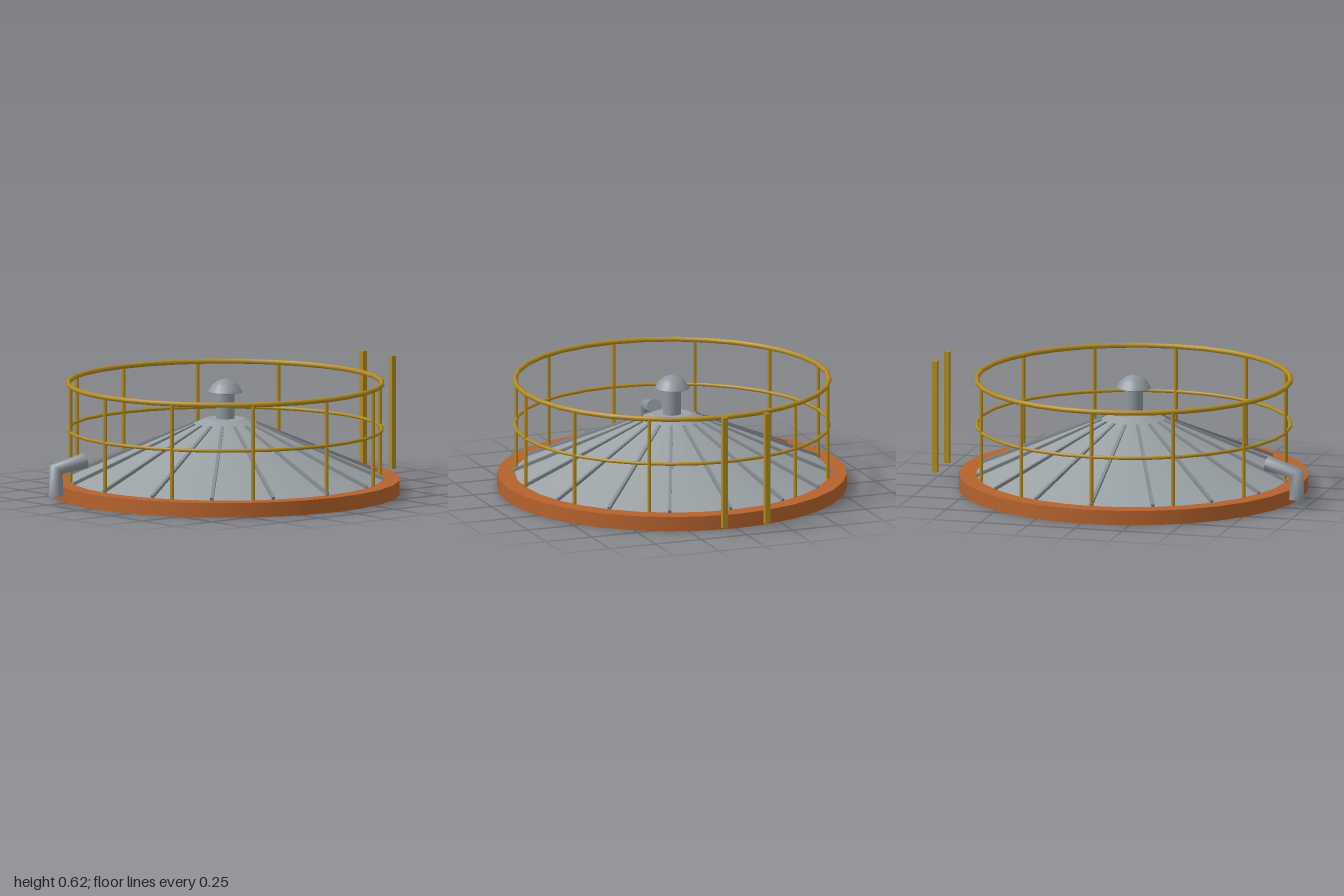
import * as THREE from 'three';

const mat = (name, color) => {
  const m = new THREE.MeshStandardMaterial({ color });
  m.name = name;
  return m;
};

export function createModel() {
  const rust = mat('rust orange', 0xb5622d);
  const steel = mat('steel grey', 0x9aa1a4);
  const ribGrey = mat('rib grey', 0x858c91);
  const pipeGrey = mat('pipe grey', 0x9097a0);
  const yellow = mat('safety yellow', 0xb18b22);

  const model = new THREE.Group();
  model.name = 'tankRoof';
  const tank = new THREE.Group(); // everything round the tank axis
  tank.name = 'tank';
  tank.position.x = -0.03;
  model.add(tank);

  const add = (parent, name, geometry, material, x = 0, y = 0, z = 0) => {
    const mesh = new THREE.Mesh(geometry, material);
    mesh.name = name;
    mesh.position.set(x, y, z);
    parent.add(mesh);
    return mesh;
  };

  // Rim slab and conical roof
  add(tank, 'rimSlab', new THREE.CylinderGeometry(0.89, 0.89, 0.075, 32), rust, 0, 0.0375);
  add(tank, 'roofCone', new THREE.CylinderGeometry(0.1, 0.8, 0.31, 32), steel, 0, 0.23);

  // Radial ribs, sinking into the roof towards the top
  const inner = new THREE.Vector2(0.16, 0.357), outer = new THREE.Vector2(0.81, 0.083);
  const ribLength = inner.distanceTo(outer);
  const ribTilt = Math.atan2(outer.y - inner.y, outer.x - inner.x);
  const ribGeometry = new THREE.BoxGeometry(ribLength, 0.016, 0.016);
  for (let i = 0; i < 16; i++) {
    const spoke = new THREE.Group();
    spoke.name = 'roofRib';
    spoke.rotation.y = (i / 16) * Math.PI * 2;
    add(spoke, 'ribBar', ribGeometry, ribGrey, (inner.x + outer.x) / 2, (inner.y + outer.y) / 2)
      .rotation.z = ribTilt;
    tank.add(spoke);
  }

  // Central vent with domed cap
  add(tank, 'ventStack', new THREE.CylinderGeometry(0.047, 0.047, 0.17, 16), pipeGrey, 0, 0.445);
  const cap = [[0, 0.52], [0.088, 0.52], [0.088, 0.523], [0.067, 0.556], [0.04, 0.578], [0, 0.589]];
  add(tank, 'ventCap',
    new THREE.LatheGeometry(cap.map(([x, y]) => new THREE.Vector2(x, y)), 16), pipeGrey);

  // Guard rails; the post facing the ladder is left out
  for (const [name, y, r] of [['topRail', 0.565, 0.013], ['midRail', 0.33, 0.009]]) {
    add(tank, name, new THREE.TorusGeometry(0.8, r, 8, 32), yellow, 0, y).rotation.x = Math.PI / 2;
  }
  const post = new THREE.CylinderGeometry(0.01, 0.01, 0.49, 8);
  for (let i = 1; i < 12; i++) {
    const a = (i / 12) * Math.PI * 2;
    add(tank, 'railPost', post, yellow, 0.8 * Math.cos(a), 0.32, 0.8 * Math.sin(a));
  }

  // Ladder stiles
  for (const side of [-1, 1]) {
    add(model, 'ladderStile', new THREE.BoxGeometry(0.027, 0.58, 0.027), yellow,
      0.986, 0.335, side * 0.116);
  }

  // Bent side pipe: a cylinder whose three rings follow a bent path
  const path = [[-0.957, 0.045, -0.235], [-0.957, 0.18, -0.235], [-0.793, 0.215, -0.207]]
    .map(p => new THREE.Vector3(...p));
  const up = path[1].clone().sub(path[0]).normalize();
  const out = path[2].clone().sub(path[1]).normalize();
  const tangents = [up, up.clone().add(out).normalize(), out];
  const across = up.clone().cross(out).normalize();
  const pipe = new THREE.CylinderGeometry(0.039, 0.039, 2, 16, 2);
  const pos = pipe.attributes.position;
  for (let i = 0; i < pos.count; i++) {
    const ring = Math.round(pos.getY(i)) + 1;
    const u = tangents[ring].clone().cross(across);
    const p = path[ring].clone().addScaledVector(u, pos.getX(i)).addScaledVector(across, pos.getZ(i));
    pos.setXYZ(i, p.x, p.y, p.z);
  }
  pipe.computeVertexNormals();
  add(model, 'sidePipe', pipe, pipeGrey);

  return model;
}
